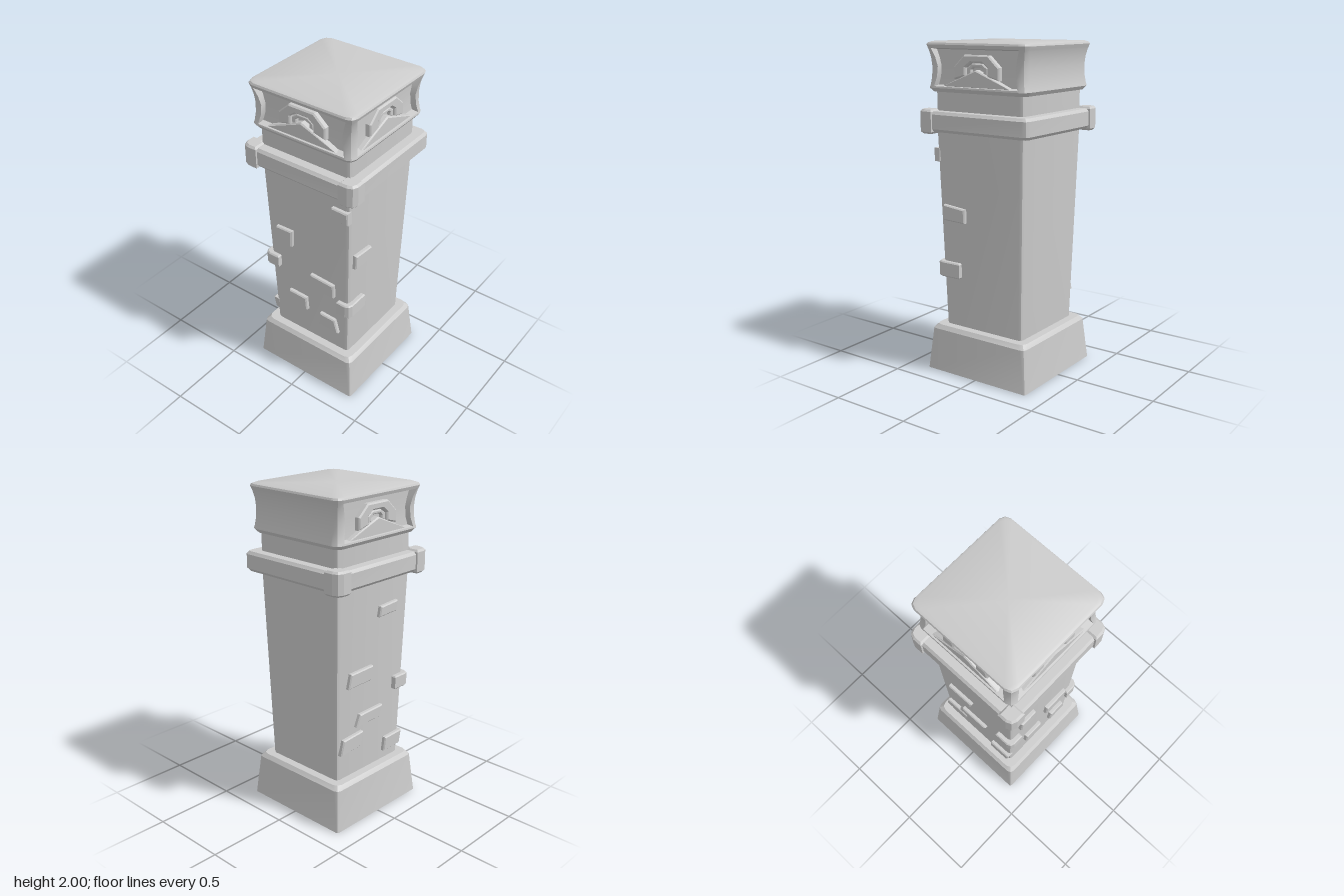
import * as THREE from 'three';
import { toCreasedNormals } from 'three/addons/utils/BufferGeometryUtils.js';

const stone = new THREE.MeshStandardMaterial({ color: 0xcccccc });
const openStone = new THREE.MeshStandardMaterial({ color: 0xcccccc, side: THREE.DoubleSide });
const QUARTER = Math.PI / 2;

function addMesh(parent, name, geometry, material = stone) {
  const mesh = new THREE.Mesh(geometry, material);
  mesh.name = name;
  parent.add(mesh);
  return mesh;
}

// Square outline with rounded corners; w and d cut a recess into every side but the back
function squareSection([y, h, c, w, d]) {
  const points = [];
  for (let k = 0; k < 4; k++) {
    const cos = Math.round(Math.cos(k * QUARTER)), sin = Math.round(Math.sin(k * QUARTER));
    const side = [[-h + c, h]];
    if (w) {
      const v = k === 2 ? h : h - d;
      side.push([-w, h], [-w, v], [w, v], [w, h]);
    }
    side.push([h - c, h], [h - 0.293 * c, h - 0.293 * c]);
    for (const [u, v] of side) points.push([u * cos + v * sin, y, -u * sin + v * cos]);
  }
  return points;
}

// Skin a stack of square sections, listed from bottom to top
function loft(levels, closeTop = false) {
  const rings = levels.map(squareSection), n = rings[0].length, pos = [];
  const tri = (...corners) => corners.forEach((p) => pos.push(...p));
  for (let j = 0; j < rings.length - 1; j++) {
    for (let i = 0; i < n; i++) {
      const m = (i + 1) % n;
      const a = rings[j][i], b = rings[j][m], c = rings[j + 1][m], d = rings[j + 1][i];
      tri(a, b, c);
      tri(a, c, d);
    }
  }
  if (closeTop) {
    const top = rings[rings.length - 1];
    for (let i = 0; i < n; i++) tri([0, top[0][1], 0], top[i], top[(i + 1) % n]);
  }
  const geometry = new THREE.BufferGeometry();
  geometry.setAttribute('position', new THREE.Float32BufferAttribute(pos, 3));
  return toCreasedNormals(geometry, 0.5);
}

const polygon = (points) => new THREE.Shape(points.map(([x, y]) => new THREE.Vector2(x, y)));

// Extrusion whose bevel stays inside the drawn outline
function slab(shape, depth, bevel) {
  return new THREE.ExtrudeGeometry(shape, {
    depth: depth - 2 * bevel, bevelEnabled: true, bevelThickness: bevel,
    bevelSize: bevel, bevelOffset: -bevel, bevelSegments: 1,
  }).translate(0, 0, bevel);
}

// Half width of the tapering shaft at height y
const shaftHalf = (y) => 0.277 + (Math.min(y, 1.48) - 0.28) * 0.0275;

// Raised brick on side k, sheared to follow the leaning wall
function brick(k, corners) {
  const geometry = slab(polygon(corners), 0.05, 0.007);
  const p = geometry.attributes.position;
  for (let i = 0; i < p.count; i++) p.setZ(i, p.getZ(i) - 0.025 + shaftHalf(p.getY(i)));
  geometry.computeVertexNormals();
  return geometry.rotateY(k * QUARTER);
}

// L-shaped block hugging a corner; k counts quarter turns from the front +x corner
function cornerBlock(k, inner, outer, legX, legZ, y0, y1, chamfer, bevel) {
  const shape = polygon([
    [outer - legX, inner], [inner, inner], [inner, outer - legZ], [outer, outer - legZ],
    [outer, outer - chamfer], [outer - 0.3 * chamfer, outer - 0.3 * chamfer],
    [outer - chamfer, outer], [outer - legX, outer],
  ]);
  return slab(shape, y1 - y0, bevel).rotateX(QUARTER).translate(0, y1, 0).rotateY(-k * QUARTER);
}

// Arch ring of six-point outlines
function arch(outer, inner, depth, bevel) {
  const mirror = (half) => [...half, ...half.map(([x, y]) => [-x, y]).reverse()];
  return slab(polygon([...mirror(outer), ...mirror(inner).reverse()]), depth, bevel);
}

export function createModel() {
  const model = new THREE.Group();
  model.name = 'stonePillar';

  // Hollow plinth and tapering shaft
  addMesh(model, 'plinth', loft([
    [0, 0.363, 0.012], [0.26, 0.343, 0.03], [0.285, 0.325, 0.04], [0.286, 0.265, 0.03],
  ]), openStone);
  addMesh(model, 'shaft', loft([
    [0.27, shaftHalf(0.27), 0.022], [1.48, 0.31, 0.026], [1.73, 0.31, 0.026],
  ]), openStone);

  // Collar band with three corner caps
  addMesh(model, 'collar', loft([
    [1.482, 0.29, 0.03], [1.483, 0.362, 0.03], [1.5, 0.376, 0.035],
    [1.585, 0.376, 0.035], [1.602, 0.362, 0.03], [1.603, 0.29, 0.03],
  ]));
  for (const k of [0, 1, 2]) {
    addMesh(model, 'collarCornerCap', cornerBlock(k, 0.3, 0.387, 0.103, 0.103, 1.47, 1.612, 0.045, 0.012));
  }

  // Flared head with framed recesses on the front and both sides
  addMesh(model, 'head', loft([
    [1.712, 0.29, 0.03, 0.2, 0], [1.713, 0.328, 0.04, 0.25, 0], [1.735, 0.344, 0.04, 0.29, 0],
    [1.745, 0.342, 0.04, 0.292, 0], [1.752, 0.34, 0.04, 0.29, 0.04], [1.8, 0.332, 0.035, 0.277, 0.037],
    [1.86, 0.329, 0.03, 0.272, 0.035], [1.91, 0.335, 0.035, 0.285, 0.04], [1.955, 0.346, 0.04, 0.303, 0.05],
    [1.963, 0.349, 0.04, 0.305, 0], [1.982, 0.356, 0.045, 0.305, 0], [1.993, 0.351, 0.05, 0.3, 0],
    [2.0, 0.335, 0.05, 0.28, 0],
  ], true));

  // Gable and nested arches inside each recess
  for (const k of [0, 1, 3]) {
    const ornament = new THREE.Group();
    ornament.name = 'headOrnament';
    ornament.rotation.y = k * QUARTER;
    model.add(ornament);
    const gable = slab(polygon([[-0.24, 1.746], [0.24, 1.746], [0, 1.846]]), 0.06, 0.008);
    addMesh(ornament, 'gable', gable).position.z = 0.272;
    addMesh(ornament, 'largeArch', arch(
      [[-0.157, 1.79], [-0.157, 1.862], [-0.085, 1.928]],
      [[-0.077, 1.81], [-0.077, 1.858], [-0.04, 1.886]], 0.056, 0.008)).position.z = 0.272;
    addMesh(ornament, 'smallArch', arch(
      [[-0.072, 1.815], [-0.072, 1.855], [-0.036, 1.88]],
      [[-0.044, 1.825], [-0.044, 1.846], [-0.028, 1.86]], 0.045, 0.005)).position.z = 0.272;
  }

  // Raised bricks: side number, then corners across and up that side
  const bricks = [
    [0, [[0.185, 1.3], [0.31, 1.3], [0.308, 1.38], [0.197, 1.382]]],
    [0, [[-0.225, 0.96], [-0.11, 0.953], [-0.103, 1.07], [-0.22, 1.066]]],
    [0, [[0.018, 0.71], [0.195, 0.702], [0.195, 0.797], [0.023, 0.807]]],
    [0, [[-0.155, 0.503], [-0.013, 0.493], [-0.018, 0.59], [-0.15, 0.594]]],
    [0, [[0.077, 0.43], [0.222, 0.423], [0.198, 0.52], [0.087, 0.525]]],
    [1, [[-0.257, 0.95], [-0.102, 0.945], [-0.102, 1.03], [-0.257, 1.046]]],
    [3, [[0.03, 1.252], [0.18, 1.26], [0.19, 1.325], [0.04, 1.315]]],
    [3, [[-0.22, 0.87], [-0.03, 0.875], [-0.01, 0.965], [-0.2, 0.96]]],
    [3, [[-0.14, 0.6], [0.06, 0.605], [0.09, 0.68], [-0.11, 0.675]]],
    [3, [[-0.27, 0.455], [-0.1, 0.465], [-0.08, 0.56], [-0.25, 0.55]]],
    [3, [[0.12, 0.345], [0.27, 0.35], [0.285, 0.44], [0.13, 0.435]]],
  ];
  for (const [k, corners] of bricks) addMesh(model, 'brick', brick(k, corners));

  // Bricks wrapping the two front corners
  addMesh(model, 'cornerBrick', cornerBlock(0, 0.25, 0.316, 0.1, 0.167, 0.595, 0.69, 0.035, 0.007));
  addMesh(model, 'cornerBrick', cornerBlock(1, 0.25, 0.322, 0.13, 0.107, 0.745, 0.83, 0.035, 0.007));

  return model;
}
